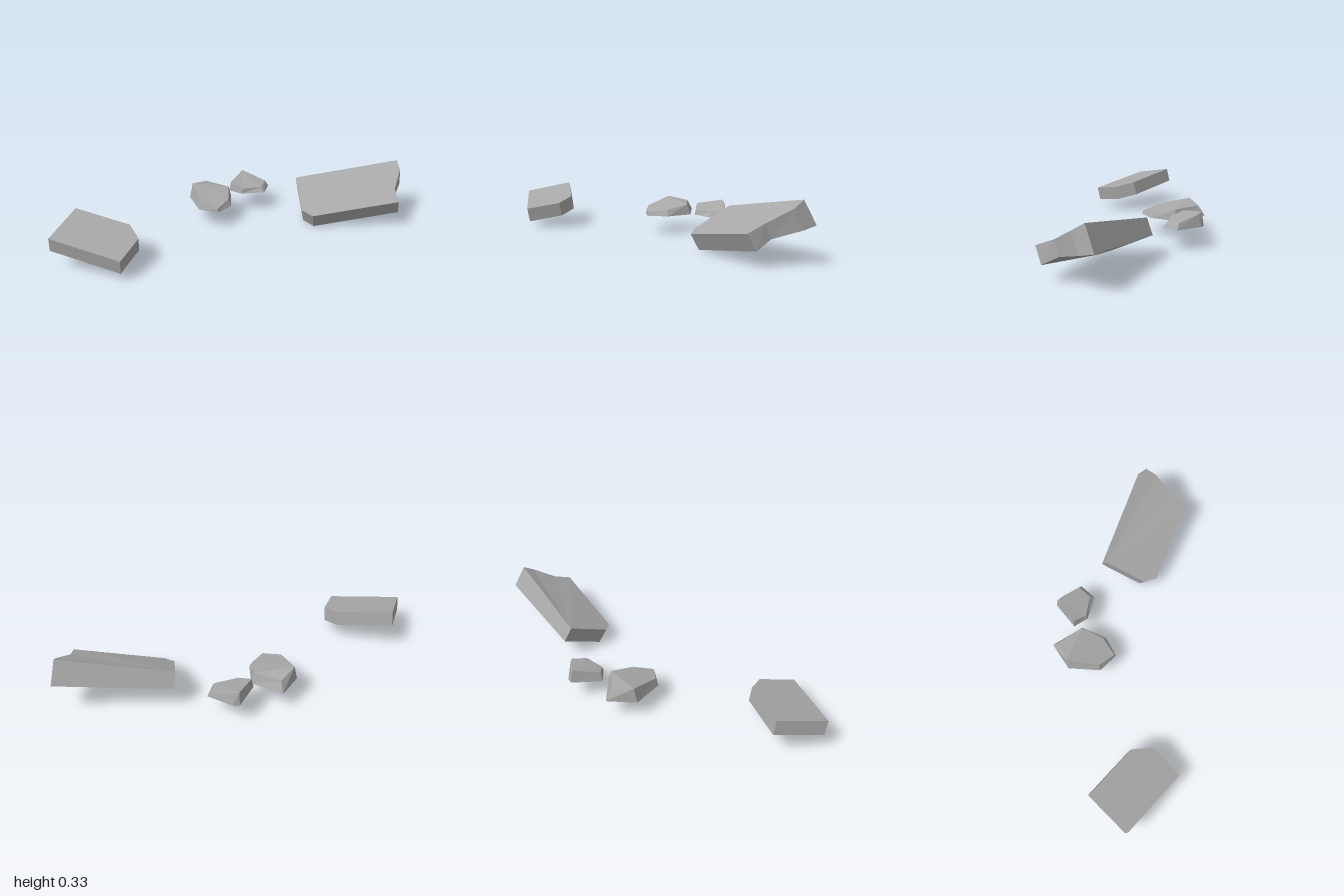
import * as THREE from 'three';

const stone = new THREE.MeshStandardMaterial({ color: 0xa8a8a8, flatShading: true });
stone.name = 'grey stone';

// Closed block between two matching loops, both listed clockwise seen from above.
function block(name, top, bottom) {
  const n = top.length;
  const pos = [];
  const tri = (a, b, c) => pos.push(...a, ...b, ...c);
  for (let i = 1; i < n - 1; i++) {
    tri(top[0], top[i + 1], top[i]);
    tri(bottom[0], bottom[i], bottom[i + 1]);
  }
  for (let i = 0; i < n; i++) {
    const j = (i + 1) % n;
    tri(top[i], top[j], bottom[j]);
    tri(top[i], bottom[j], bottom[i]);
  }
  const geo = new THREE.BufferGeometry();
  geo.setAttribute('position', new THREE.Float32BufferAttribute(pos, 3));
  geo.computeVertexNormals();
  const mesh = new THREE.Mesh(geo, stone);
  mesh.name = name;
  return mesh;
}

const shift = (loop, d) => loop.map(p => p.map((v, k) => v + d[k]));

export function createModel() {
  const group = new THREE.Group();
  group.name = 'rubble';

  // Tilted slab of even thickness
  const slab = [
    [-1.0, 0.192, -0.53], [-0.735, 0.248, -0.632], [-0.6, 0.192, -0.325],
    [-0.64, 0.16, -0.21], [-0.834, 0.124, -0.14],
  ];
  group.add(block('smallSlab', slab, shift(slab, [0.01, -0.084, -0.016])));

  // Large slab with a broken end and one thicker corner
  const large = [
    [0.5, 0.218, 0.01], [0.936, 0.328, 0.48], [0.893, 0.288, 0.53], [0.76, 0.217, 0.577],
    [0.684, 0.175, 0.65], [0.33, 0.088, 0.27], [0.33, 0.104, 0.188],
  ];
  const largeBottom = shift(large, [0.042, -0.088, -0.017]);
  largeBottom[1] = [1.0, 0.198, 0.455];
  largeBottom[2] = [0.94, 0.18, 0.513];
  largeBottom[3] = [0.79, 0.138, 0.562];
  group.add(block('largeSlab', large, largeBottom));

  // Middle rock with a sloping top
  group.add(block('middleRock', [
    [0.03, 0.2, -0.453], [0.155, 0.177, -0.455], [0.19, 0.172, -0.29],
    [0.085, 0.145, -0.2], [-0.035, 0.128, -0.18], [-0.064, 0.155, -0.294],
  ], [
    [0.01, 0.108, -0.46], [0.18, 0.118, -0.487], [0.21, 0.108, -0.29],
    [0.09, 0.107, -0.18], [-0.035, 0.107, -0.172], [-0.08, 0.107, -0.294],
  ]));

  // Smallest rock
  group.add(block('smallRock', [
    [0.4, 0.2, -0.358], [0.415, 0.19, -0.33], [0.444, 0.157, -0.2],
    [0.364, 0.146, -0.165], [0.257, 0.151, -0.235], [0.246, 0.178, -0.32],
  ], [
    [0.406, 0.12, -0.368], [0.43, 0.12, -0.343], [0.46, 0.12, -0.182],
    [0.36, 0.118, -0.138], [0.25, 0.118, -0.23], [0.235, 0.12, -0.326],
  ]));

  return group;
}
